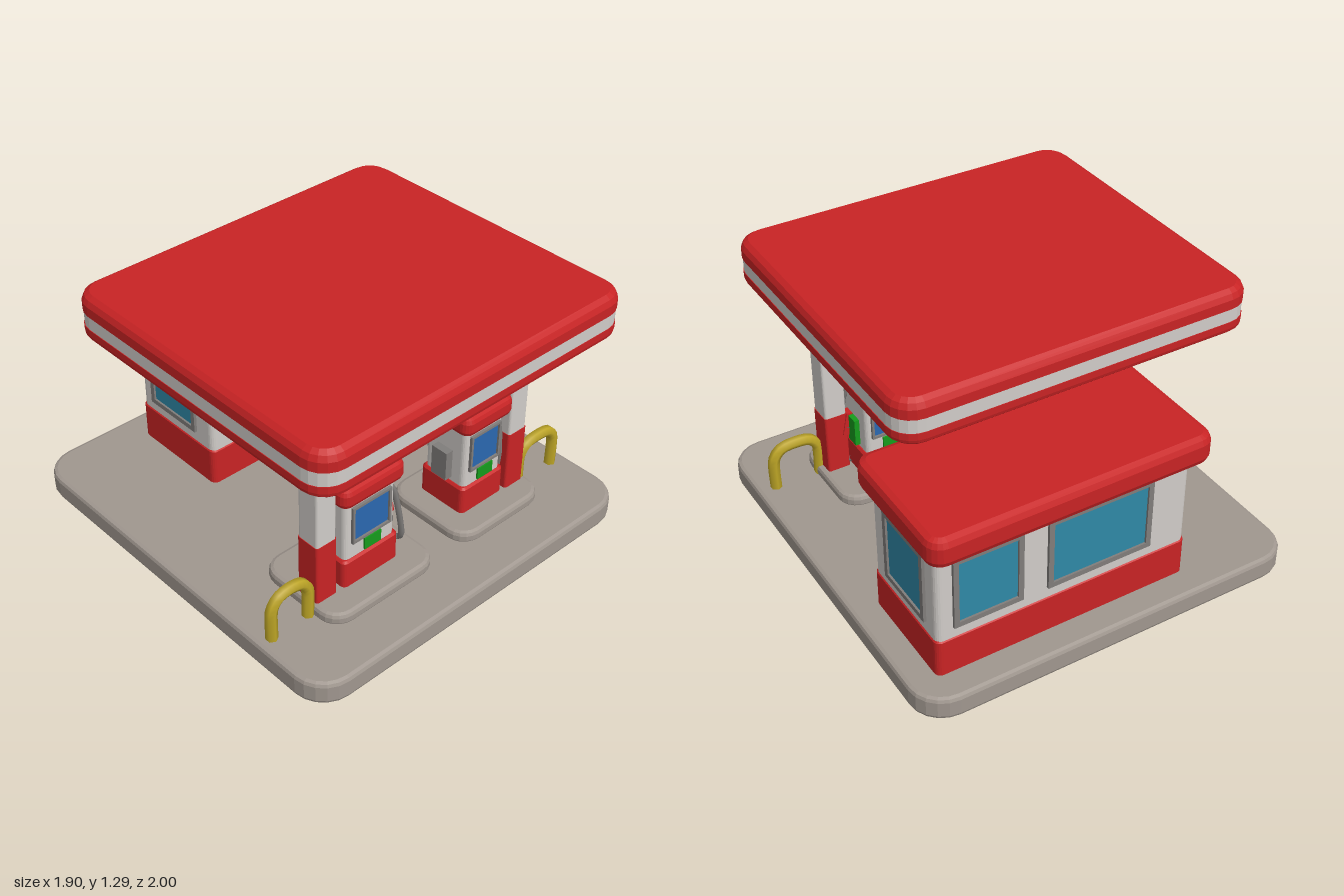
import * as THREE from 'three';

const mat = (name, color) => {
  const m = new THREE.MeshStandardMaterial({ color });
  m.name = name;
  return m;
};

export function createModel() {
  const red = mat('red', 0xc82324);
  const white = mat('off white', 0xd0ccc8);
  const stone = mat('concrete', 0xa0978f);
  const glass = mat('window glass', 0x2f88a6);
  const blue = mat('screen blue', 0x2a68b0);
  const green = mat('green', 0x159c1c);
  const yellow = mat('yellow', 0xbda526);
  const grey = mat('metal grey', 0x807d7b);
  const tan = mat('tan', 0xb39a7a);

  const model = new THREE.Group();
  const add = (parent, name, geometry, material) => {
    const mesh = new THREE.Mesh(geometry, material);
    mesh.name = name;
    parent.add(mesh);
    return mesh;
  };
  const group = (parent, name, x = 0, y = 0, z = 0) => {
    const g = new THREE.Group();
    g.name = name;
    g.position.set(x, y, z);
    parent.add(g);
    return g;
  };

  // Stack of rounded rectangles: rings are [y, inset], closed at both ends
  const loft = (x0, x1, z0, z1, r, rings) => {
    const seg = 5;
    const loops = rings.map(([y, inset]) => {
      const loop = [];
      const corners = [[x1 - r, z0 + r], [x0 + r, z0 + r], [x0 + r, z1 - r], [x1 - r, z1 - r]];
      corners.forEach(([cx, cz], q) => {
        for (let i = 0; i <= seg; i++) {
          const a = (q + i / seg) * Math.PI / 2;
          const rad = r - inset;
          loop.push([cx + rad * Math.cos(a), y, cz - rad * Math.sin(a)]);
        }
      });
      return loop;
    });
    const pos = [];
    const tri = (a, b, c) => pos.push(...a, ...b, ...c);
    const n = loops[0].length;
    const last = loops[loops.length - 1];
    const mid = y => [(x0 + x1) / 2, y, (z0 + z1) / 2];
    for (let i = 0; i < n; i++) {
      const j = (i + 1) % n;
      for (let k = 0; k < loops.length - 1; k++) {
        const a = loops[k], b = loops[k + 1];
        tri(a[i], a[j], b[j]);
        tri(a[i], b[j], b[i]);
      }
      tri(mid(last[0][1]), last[i], last[j]);
      tri(mid(loops[0][0][1]), loops[0][j], loops[0][i]);
    }
    const g = new THREE.BufferGeometry();
    g.setAttribute('position', new THREE.Float32BufferAttribute(pos, 3));
    g.computeVertexNormals();
    return g;
  };
  // Slab with softened top and bottom edges
  const soft = (y0, y1, b) => [[y0, b], [y0 + b * 0.3, b * 0.3], [y0 + b, 0], [y1 - b, 0], [y1 - b * 0.3, b * 0.3], [y1, b]];

  // Framed pane, centred at its origin and facing +z
  const pane = (parent, name, w, h, material, border = 0.025) => {
    const rect = (s, W, H) => s.moveTo(-W / 2, -H / 2).lineTo(W / 2, -H / 2).lineTo(W / 2, H / 2).lineTo(-W / 2, H / 2).closePath();
    const s = rect(new THREE.Shape(), w + 2 * border, h + 2 * border);
    s.holes.push(rect(new THREE.Path(), w, h));
    add(parent, name + 'Frame', new THREE.ExtrudeGeometry(s, { depth: 0.014, bevelEnabled: false }), grey);
    add(parent, name, new THREE.BoxGeometry(w, h, 0.008), material);
  };
  const tube = (points, radius, sides = 7) => new THREE.TubeGeometry(
    new THREE.CatmullRomCurve3(points.map(p => new THREE.Vector3(...p)), false, 'catmullrom', 0.4), 24, radius, sides);

  // Ground slab
  add(model, 'forecourt', loft(-0.95, 0.95, -1, 1, 0.16, soft(0, 0.115, 0.02)), stone);

  // Canopy: two red bands around a pale stripe
  const canopy = group(model, 'canopy');
  const roofBand = rings => loft(-0.93, 0.8, -0.58, 0.99, 0.12, rings);
  add(canopy, 'canopyLowerBand', roofBand([[1.08, 0.02], [1.095, 0.004], [1.11, 0], [1.142, 0]]), red);
  add(canopy, 'canopyStripe', roofBand([[1.142, 0.003], [1.208, 0.003]]), white);
  add(canopy, 'canopyUpperBand', roofBand([[1.208, 0], [1.255, 0], [1.28, 0.012], [1.295, 0.035]]), red);
  add(canopy, 'canopyCeiling', loft(-0.9, 0.77, -0.55, 0.96, 0.1, [[1.076, 0], [1.082, 0]]), tan);

  // Canopy columns with red feet
  for (const [x, z] of [[-0.585, 0.575], [0.565, 0.59]]) {
    const column = group(model, 'column', x, 0, z);
    add(column, 'columnFoot', loft(-0.057, 0.057, -0.062, 0.062, 0.012, [[0.11, 0], [0.47, 0]]), red);
    add(column, 'columnShaft', loft(-0.054, 0.054, -0.059, 0.059, 0.012, [[0.47, 0], [1.08, 0]]), white);
  }

  // Shop building
  const shop = group(model, 'shop');
  add(shop, 'shopPlinth', loft(-0.43, 0.82, -0.86, -0.32, 0.03, [[0.11, 0], [0.295, 0], [0.303, 0.008]]), red);
  add(shop, 'shopWalls', loft(-0.425, 0.815, -0.855, -0.325, 0.03, [[0.3, 0], [0.77, 0]]), white);
  add(shop, 'shopEaves', loft(-0.46, 0.84, -0.91, -0.3, 0.05, [[0.752, 0], [0.765, 0]]), tan);
  add(shop, 'shopRoof', loft(-0.49, 0.87, -0.94, -0.27, 0.075, soft(0.76, 0.9, 0.035)), red);

  // Shop windows: x, z, width, facing angle
  const windows = [
    [0.01, -0.325, 0.46, 0], [0.815, -0.605, 0.28, Math.PI / 2], [-0.425, -0.605, 0.28, -Math.PI / 2],
    [0.575, -0.855, 0.28, Math.PI], [0.03, -0.855, 0.47, Math.PI],
  ];
  for (const [x, z, w, turn] of windows) {
    const g = group(shop, 'shopWindow', x, 0.537, z);
    g.rotation.y = turn;
    pane(g, 'windowGlass', w, 0.31, glass);
  }

  // Shop door with two panes and a pull handle
  const door = group(shop, 'door', 0.545, 0, -0.32);
  add(door, 'doorLeaf', new THREE.BoxGeometry(0.32, 0.61, 0.014), grey).position.y = 0.42;
  for (const [y, h] of [[0.545, 0.29], [0.235, 0.17]]) {
    pane(group(door, 'doorPanel', 0.01, y, 0.007), 'doorGlass', 0.23, h, glass, 0.02);
  }
  add(door, 'doorHandle', new THREE.BoxGeometry(0.03, 0.1, 0.035), grey).position.set(-0.13, 0.4, 0.02);

  // Pump islands and fuel pumps: centre, half width, island ends
  for (const [cx, hw, i0, i1] of [[-0.335, 0.15, -0.66, -0.04], [0.36, 0.125, 0.11, 0.65]]) {
    add(model, 'pumpIsland', loft(i0, i1, 0.28, 0.77, 0.1, soft(0.1, 0.165, 0.02)), stone);
    const pump = group(model, 'fuelPump', cx, 0, 0.512);
    add(pump, 'pumpBase', loft(-hw - 0.01, hw + 0.01, -0.132, 0.132, 0.025, [[0.16, 0], [0.295, 0], [0.305, 0.01]]), red);
    add(pump, 'pumpBody', loft(-hw + 0.005, hw - 0.005, -0.12, 0.12, 0.025, [[0.3, 0], [0.63, 0]]), white);
    add(pump, 'pumpCap', loft(-hw - 0.03, hw + 0.03, -0.155, 0.155, 0.045, soft(0.61, 0.705, 0.025)), red);

    // Screen and green badge on both faces
    for (const turn of [0, Math.PI]) {
      const face = group(pump, 'pumpFace');
      face.rotation.y = turn;
      pane(group(face, 'display', 0, 0.485, 0.12), 'screen', hw * 1.32, 0.17, blue, 0.012);
      add(face, 'badge', new THREE.BoxGeometry(0.095, 0.06, 0.012), green).position.set(0.01, 0.345, 0.123);
    }

    // Nozzle holsters, nozzles and hose
    add(pump, 'leftHolster', new THREE.BoxGeometry(0.045, 0.15, 0.09), grey).position.set(-hw - 0.012, 0.4, 0);
    add(pump, 'greenHolster', new THREE.BoxGeometry(0.03, 0.14, 0.07), green).position.set(hw + 0.005, 0.39, -0.015);
    const nozzle = add(pump, 'nozzleGrip', new THREE.BoxGeometry(0.03, 0.12, 0.05), red);
    nozzle.position.set(hw + 0.025, 0.41, 0.035);
    nozzle.rotation.z = 0.2;
    add(pump, 'nozzleSpout', tube([[hw + 0.02, 0.4, 0.02], [hw + 0.03, 0.35, 0.045], [hw + 0.035, 0.3, 0.05]], 0.016), grey);
    const reach = cx < 0 ? 1 : 0.45;
    add(pump, 'hose', tube([[hw - 0.01, 0.56, 0.07], [hw + 0.02 * reach, 0.5, 0.085], [hw + 0.05 * reach, 0.36, 0.09],
      [hw + 0.08 * reach, 0.22, 0.08], [hw + 0.085 * reach, 0.175, 0.05], [hw + 0.03 * reach, 0.2, 0.02]], 0.014), grey);
  }

  // Yellow guard hoops
  for (const [outer, inner, foot] of [[-0.88, -0.68, 0.17], [0.86, 0.63, 0.15]]) {
    const lean = Math.sign(inner - outer) * 0.03;
    add(model, 'guardHoop', tube([[outer, 0.1, 0.62], [outer, 0.26, 0.62], [outer + lean, 0.315, 0.62],
      [outer + 2.5 * lean, 0.332, 0.62], [inner - 2.5 * lean, 0.332, 0.62], [inner - lean, 0.315, 0.62],
      [inner, 0.26, 0.62], [inner, foot - 0.05, 0.62]], 0.028, 6), yellow);
  }

  return model;
}
